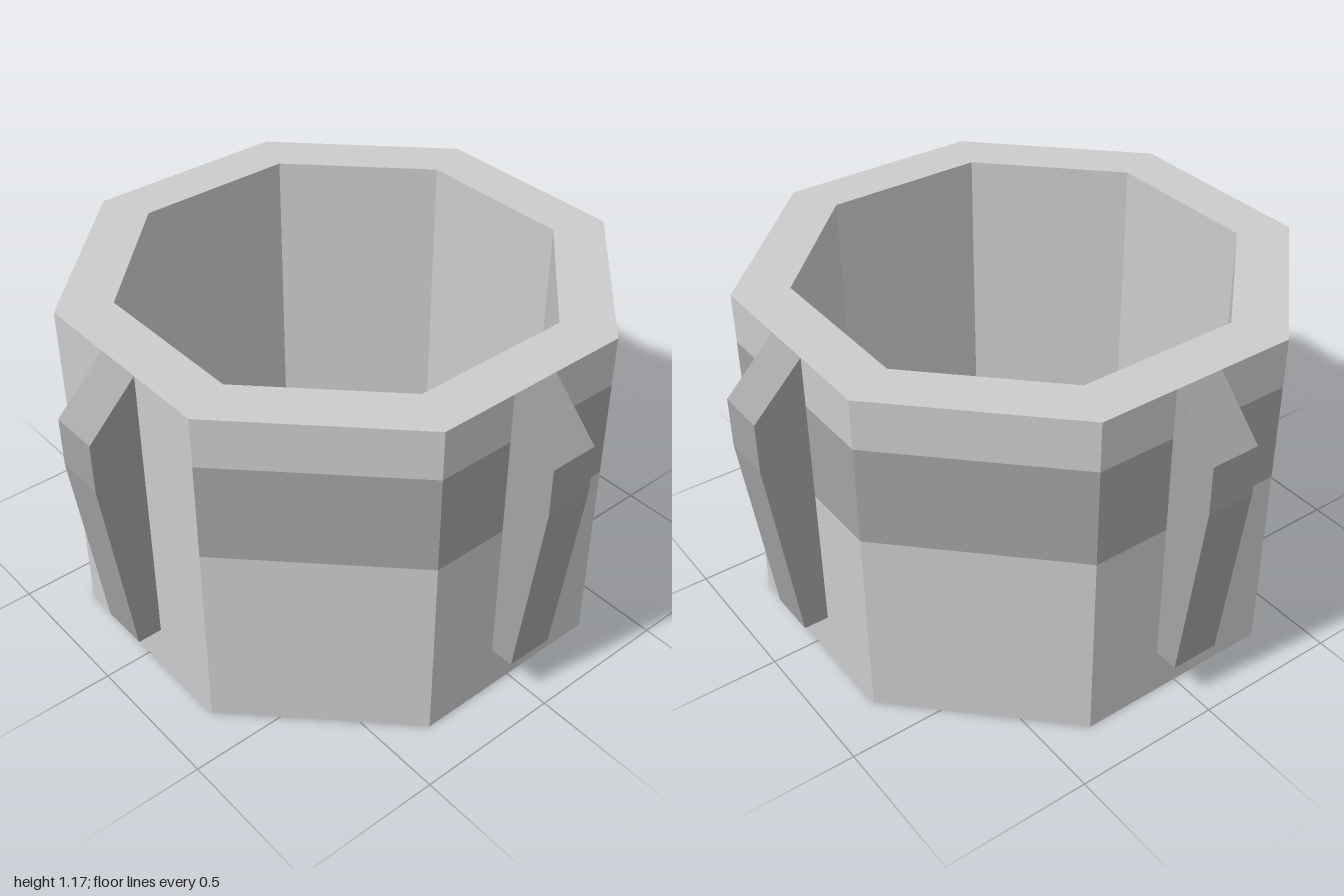
import * as THREE from 'three';

const U = 1 / 6;                       // base unit of the design
const C = Math.cos(Math.PI / 8);       // apothem to corner radius
const OUTER = 5 * U / C, INNER = 4 * U / C;
const HEIGHT = 7 * U, BAND_LOW = 4 * U, BAND_HIGH = 6 * U;
const SIDE = Math.PI / 4;              // angle covered by one side of the octagon

export function createModel() {
  const group = new THREE.Group();
  const light = new THREE.MeshStandardMaterial({ color: 0xcccccc, flatShading: true });
  const dark = new THREE.MeshStandardMaterial({ color: 0xa3a3a3, flatShading: true });

  // Sweeps a profile over a number of octagon sides, counted from the front side
  function addSides(name, profile, firstSide, sides, material) {
    const points = profile.map(([r, y]) => new THREE.Vector2(r, y));
    const geometry = new THREE.LatheGeometry(points, sides, (firstSide - 0.5) * SIDE, sides * SIDE);
    const mesh = new THREE.Mesh(geometry, material);
    mesh.name = name;
    group.add(mesh);
  }

  // Hollow octagonal ring, open where the flush band sits
  addSides('ringBody', [
    [OUTER, BAND_HIGH], [OUTER, HEIGHT], [INNER, HEIGHT],
    [INNER, 0], [OUTER, 0], [OUTER, BAND_LOW],
  ], 0, 8, light);

  // Dark band around seven sides; the front side stays plain
  const strip = [[OUTER, BAND_LOW], [OUTER, BAND_HIGH]];
  addSides('frontPanel', strip, 0, 1, light);
  addSides('band', strip, 1, 7, dark);

  // Four tapered fins
  const finShape = new THREE.Shape([
    [5 * U, U], [5.5 * U, U], [1, 5 * U], [1, 6 * U], [5 * U, HEIGHT],
  ].map(([x, y]) => new THREE.Vector2(x, y)));
  const finGeometry = new THREE.ExtrudeGeometry(finShape, { depth: U, bevelEnabled: false });
  finGeometry.translate(0, 0, -U / 2);
  ['leftFin', 'backFin', 'rightFin', 'frontFin'].forEach((name, i) => {
    const fin = new THREE.Mesh(finGeometry, dark);
    fin.name = name;
    fin.rotation.y = i * Math.PI / 2;
    group.add(fin);
  });

  return group;
}
